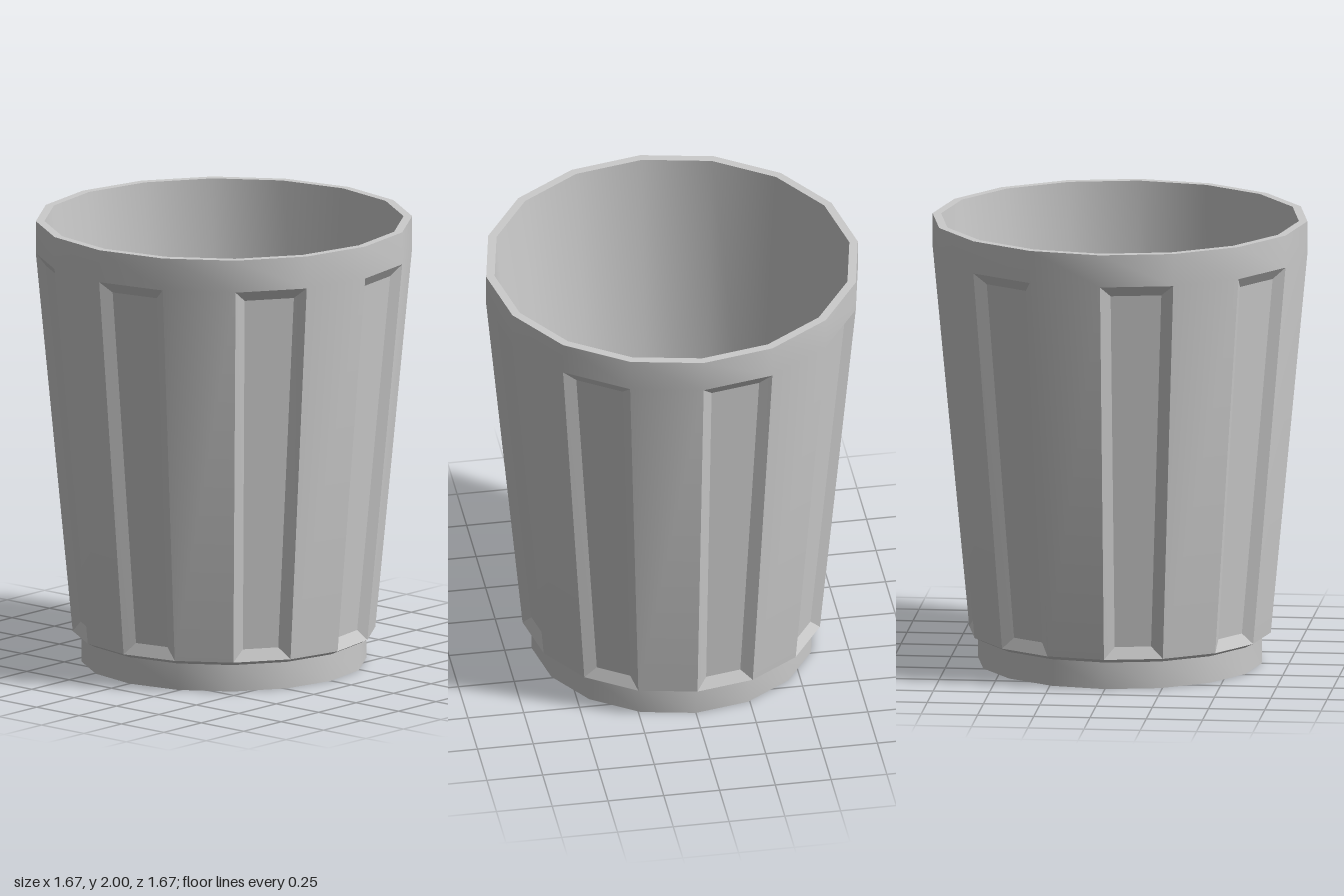
import * as THREE from 'three';
import { mergeGeometries, toCreasedNormals } from 'three/addons/utils/BufferGeometryUtils.js';

const SIDES = 16;
const STEP = (Math.PI * 2) / SIDES;
const LOW = { r: 0.67, y: 0.14 }; // bottom of the tapered wall
const HIGH = { r: 0.833, y: 1.855 }; // top of the tapered wall
const INSET = 0.05; // bevel width of a recessed panel
const DEPTH = 0.028; // depth of a recessed panel

const corner = (i, { r, y }) =>
  new THREE.Vector3(r * Math.sin(i * STEP), y, r * Math.cos(i * STEP));

function lathe(points) {
  const g = new THREE.LatheGeometry(points.map(([x, y]) => new THREE.Vector2(x, y)), SIDES).toNonIndexed();
  g.deleteAttribute('uv');
  g.deleteAttribute('normal');
  return g;
}

// Tapered wall: every second facet carries a bevelled, recessed panel
function flutedWall() {
  const pos = [];
  const quad = (a, b, c, d) => [a, b, c, a, c, d].forEach((v) => pos.push(v.x, v.y, v.z));
  for (let i = 0; i < SIDES; i++) {
    const outer = [corner(i, LOW), corner(i + 1, LOW), corner(i + 1, HIGH), corner(i, HIGH)];
    if (i % 2) {
      quad(...outer);
      continue;
    }
    const across = outer[1].clone().sub(outer[0]).normalize();
    const up = outer[3].clone().add(outer[2]).sub(outer[0]).sub(outer[1]).normalize();
    const normal = across.clone().cross(up);
    const signs = [[1, 1], [-1, 1], [-1, -1], [1, -1]];
    const inner = outer.map((p, k) => p.clone()
      .addScaledVector(across, signs[k][0] * INSET)
      .addScaledVector(up, signs[k][1] * INSET)
      .addScaledVector(normal, -DEPTH));
    for (let k = 0; k < 4; k++) {
      const n = (k + 1) % 4;
      quad(outer[k], outer[n], inner[n], inner[k]);
    }
    quad(...inner);
  }
  const g = new THREE.BufferGeometry();
  g.setAttribute('position', new THREE.Float32BufferAttribute(pos, 3));
  return g;
}

export function createModel() {
  const group = new THREE.Group();
  group.name = 'tumbler';
  const material = new THREE.MeshStandardMaterial({ color: 0xcccccc });
  const add = (name, geometry) => {
    const mesh = new THREE.Mesh(toCreasedNormals(geometry, 0.48), material);
    mesh.name = name;
    group.add(mesh);
  };

  // Recessed foot with closed underside and the ledge below the wall
  add('foot', lathe([[0, 0], [0.63, 0], [0.63, 0.12], [LOW.r, LOW.y]]));

  // Outer wall and upright rim band share smooth normals
  const band = lathe([[HIGH.r, HIGH.y], [HIGH.r, 2], [0.795, 2]]);
  add('flutedWallAndRim', mergeGeometries([flutedWall(), band]));

  // Inner wall and floor
  add('interior', lathe([[0.795, 2], [0.64, 0.2], [0, 0.2]]));

  return group;
}
